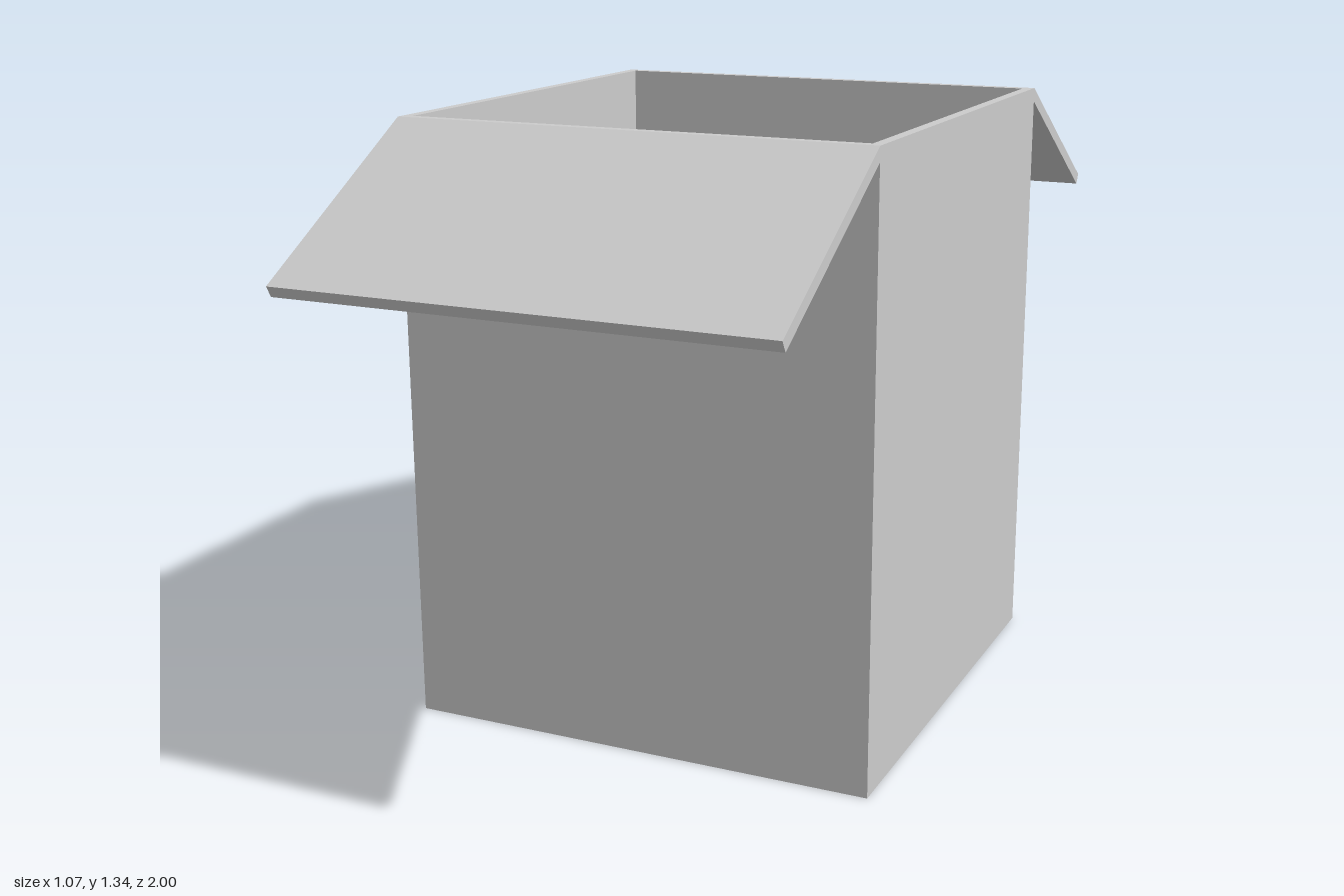
import * as THREE from 'three';

const HALF = 0.533, HEIGHT = 1.34, WALL = 0.023;

const square = (Type, h) =>
  new Type([[-h, -h], [h, -h], [h, h], [-h, h]].map(([x, y]) => new THREE.Vector2(x, y)));

export function createModel() {
  const model = new THREE.Group();
  const material = new THREE.MeshStandardMaterial({ color: 0xcccccc, flatShading: true });
  const add = (name, geometry) => {
    const mesh = new THREE.Mesh(geometry, material);
    mesh.name = name;
    model.add(mesh);
    return mesh;
  };

  // Four walls as one square tube
  const outline = square(THREE.Shape, HALF);
  outline.holes.push(square(THREE.Path, HALF - WALL));
  const walls = new THREE.ExtrudeGeometry(outline, { depth: HEIGHT, bevelEnabled: false });
  add('walls', walls.rotateX(-Math.PI / 2));

  // Floor panel between the walls
  const inner = 2 * (HALF - WALL);
  add('floor', new THREE.BoxGeometry(inner, WALL, inner).translate(0, WALL / 2, 0));

  // Flap section in (z, y), sloping down 30 degrees from the rim and mitred to the wall
  const slope = Math.PI / 6, thickness = 0.027;
  const length = (1 - HALF) / Math.cos(slope);
  const tipY = HEIGHT - length * Math.sin(slope);
  const section = new THREE.Shape([
    new THREE.Vector2(HALF, HEIGHT),
    new THREE.Vector2(HALF, HEIGHT - thickness / Math.cos(slope)),
    new THREE.Vector2(1 - thickness * Math.sin(slope), tipY - thickness * Math.cos(slope)),
    new THREE.Vector2(1, tipY),
  ]);
  const flap = new THREE.ExtrudeGeometry(section, { depth: 2 * HALF, bevelEnabled: false });
  flap.translate(0, 0, -HALF).rotateY(-Math.PI / 2);

  // Matching flaps at front and back
  add('frontFlap', flap);
  add('backFlap', flap).rotation.y = Math.PI;

  return model;
}
